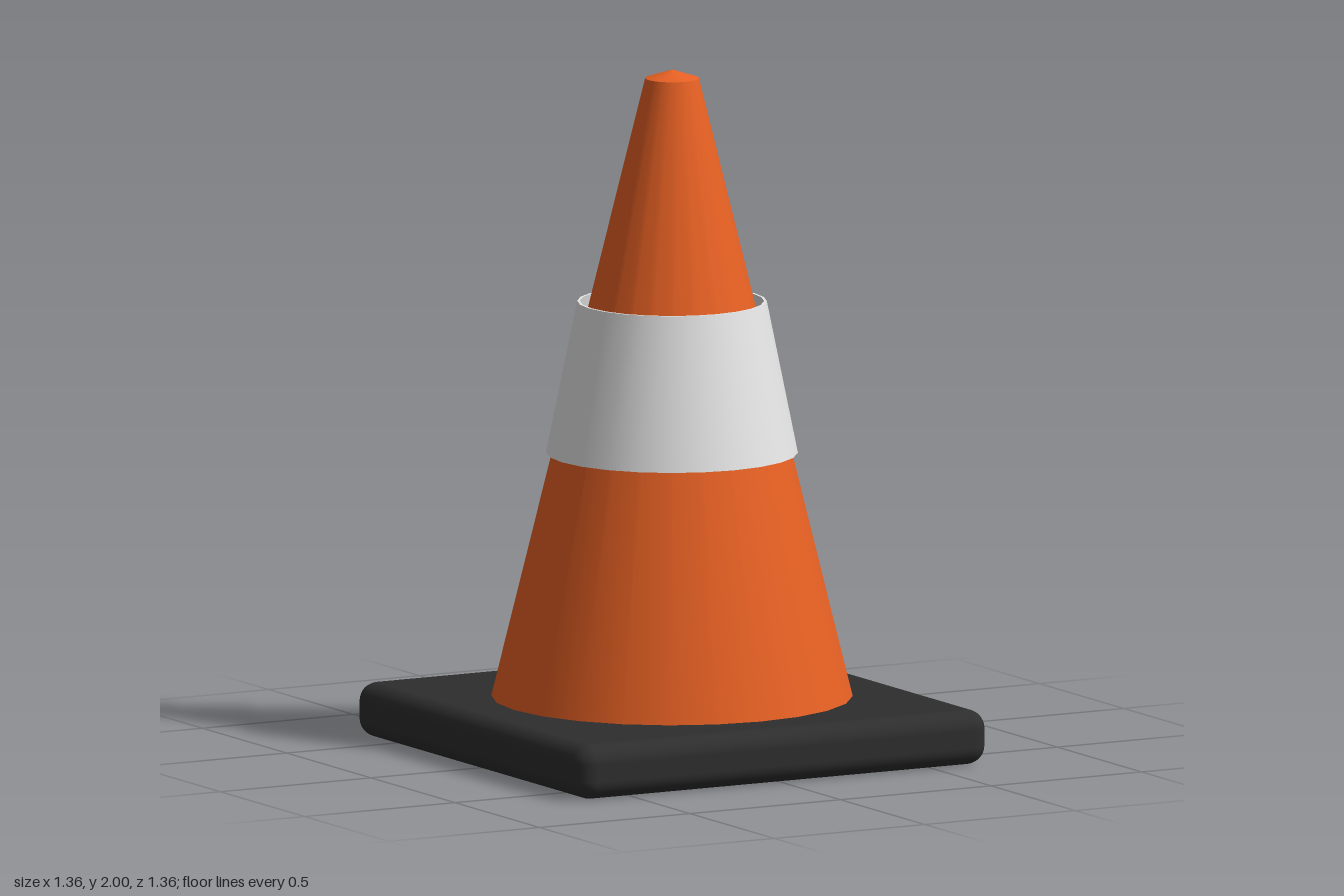
import * as THREE from 'three';
import { RoundedBoxGeometry } from 'three/addons/geometries/RoundedBoxGeometry.js';

const SIDES = 24;

export function createModel() {
  const orange = new THREE.MeshStandardMaterial({ color: 0xe86124 });
  const white = new THREE.MeshStandardMaterial({ color: 0xe6e6e6 });
  const black = new THREE.MeshStandardMaterial({ color: 0x2e2e2e });
  orange.name = 'safety orange';
  white.name = 'reflective white';
  black.name = 'black rubber';

  const model = new THREE.Group();
  model.name = 'trafficCone';
  const add = (name, geometry, material, y = 0) => {
    const mesh = new THREE.Mesh(geometry, material);
    mesh.name = name;
    mesh.position.y = y;
    model.add(mesh);
  };
  // Open frustum between two heights
  const frustum = (rTop, rBottom, y0, y1) =>
    new THREE.CylinderGeometry(rTop, rBottom, y1 - y0, SIDES, 1, true).translate(0, (y0 + y1) / 2, 0);

  // Square foot with rounded edges
  add('base', new RoundedBoxGeometry(1.36, 0.16, 1.36, 4, 0.055), black, 0.08);

  // Tapered body and its shallow pointed cap
  add('coneBody', frustum(0.078, 0.525, 0.155, 1.975), orange);
  add('coneTip', frustum(0, 0.078, 1.975, 2), orange);

  // Loose collar: outer wall, inner wall and the two rims
  add('bandOuter', frustum(0.275, 0.365, 0.875, 1.32), white);
  const inner = frustum(0.267, 0.357, 0.875, 1.32);
  const index = inner.index.array;
  for (let i = 0; i < index.length; i += 3) [index[i], index[i + 1]] = [index[i + 1], index[i]];
  const normal = inner.attributes.normal;
  for (let i = 0; i < normal.count; i++) normal.setXYZ(i, -normal.getX(i), -normal.getY(i), -normal.getZ(i));
  add('bandInner', inner, white);
  add('bandTopRim', new THREE.RingGeometry(0.267, 0.275, SIDES).rotateX(-Math.PI / 2), white, 1.32);
  add('bandBottomRim', new THREE.RingGeometry(0.357, 0.365, SIDES).rotateX(Math.PI / 2), white, 0.875);

  return model;
}
